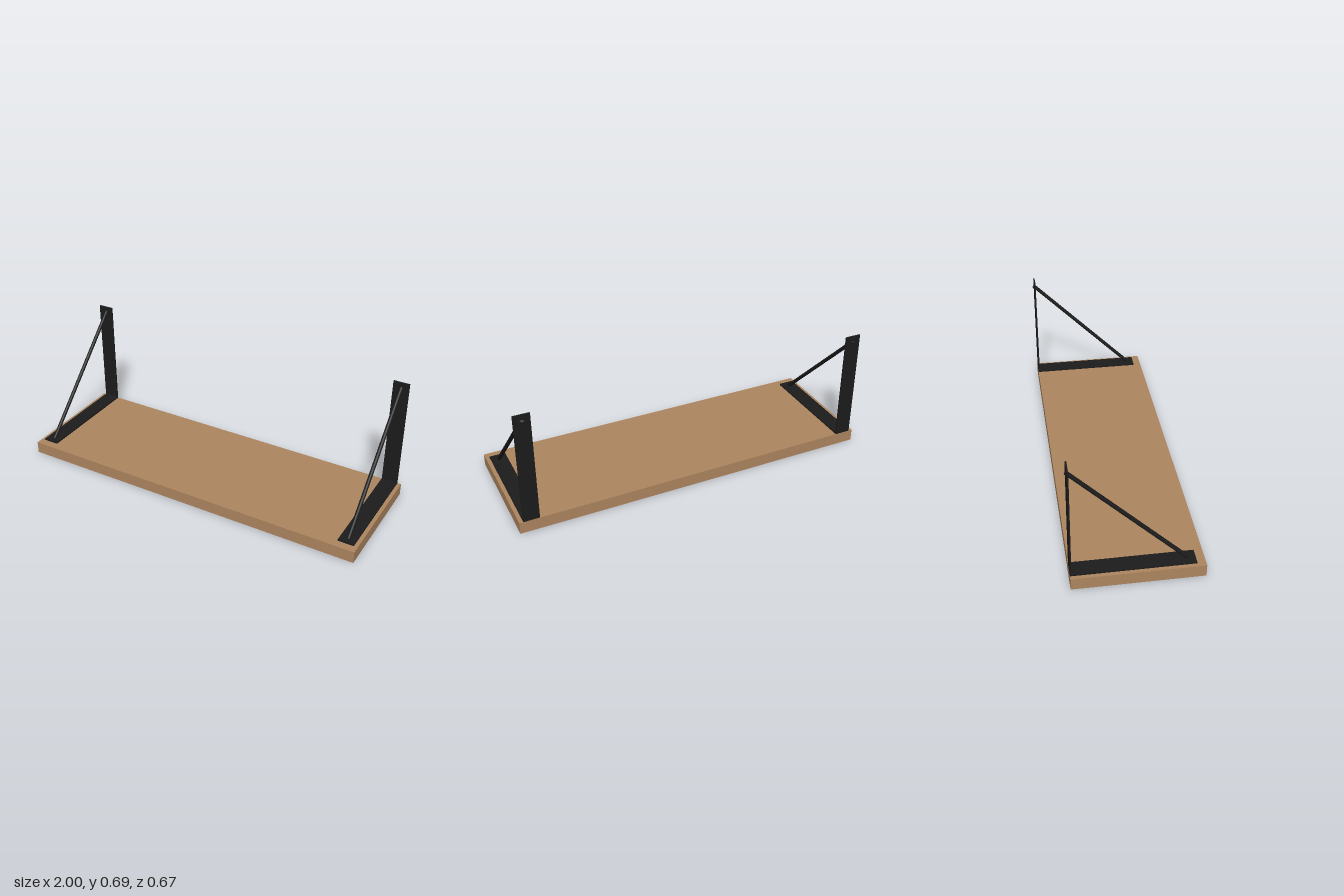
import * as THREE from 'three';

const wood = new THREE.MeshStandardMaterial({ name: 'wood', color: 0xae8660 });
const blackMetal = new THREE.MeshStandardMaterial({ name: 'blackMetal', color: 0x1c1c1d });

function box(name, material, size, position) {
  const mesh = new THREE.Mesh(new THREE.BoxGeometry(...size), material);
  mesh.name = name;
  mesh.position.set(...position);
  return mesh;
}

// Round bar running between two points
function rod(name, from, to, radius) {
  const dir = to.clone().sub(from);
  const mesh = new THREE.Mesh(new THREE.CylinderGeometry(radius, radius, dir.length(), 24), blackMetal);
  mesh.name = name;
  mesh.position.copy(from).add(to).multiplyScalar(0.5);
  mesh.quaternion.setFromUnitVectors(new THREE.Vector3(0, 1, 0), dir.normalize());
  return mesh;
}

// L-shaped strap with a diagonal brace
function bracket(name, x) {
  const group = new THREE.Group();
  group.name = name;
  group.position.x = x;
  group.add(
    box('basePlate', blackMetal, [0.088, 0.008, 0.622], [0, 0.071, -0.018]),
    box('wallPlate', blackMetal, [0.088, 0.624, 0.008], [0, 0.379, -0.325]),
    rod('diagonalBrace', new THREE.Vector3(0, 0.071, 0.258), new THREE.Vector3(0, 0.661, -0.33), 0.0105)
  );
  return group;
}

export function createModel() {
  const model = new THREE.Group();
  model.name = 'wallShelf';
  model.add(box('shelfBoard', wood, [2, 0.067, 0.667], [0, 0.0335, 0.004]));
  model.add(bracket('leftBracket', 0.935), bracket('rightBracket', -0.935));
  return model;
}
